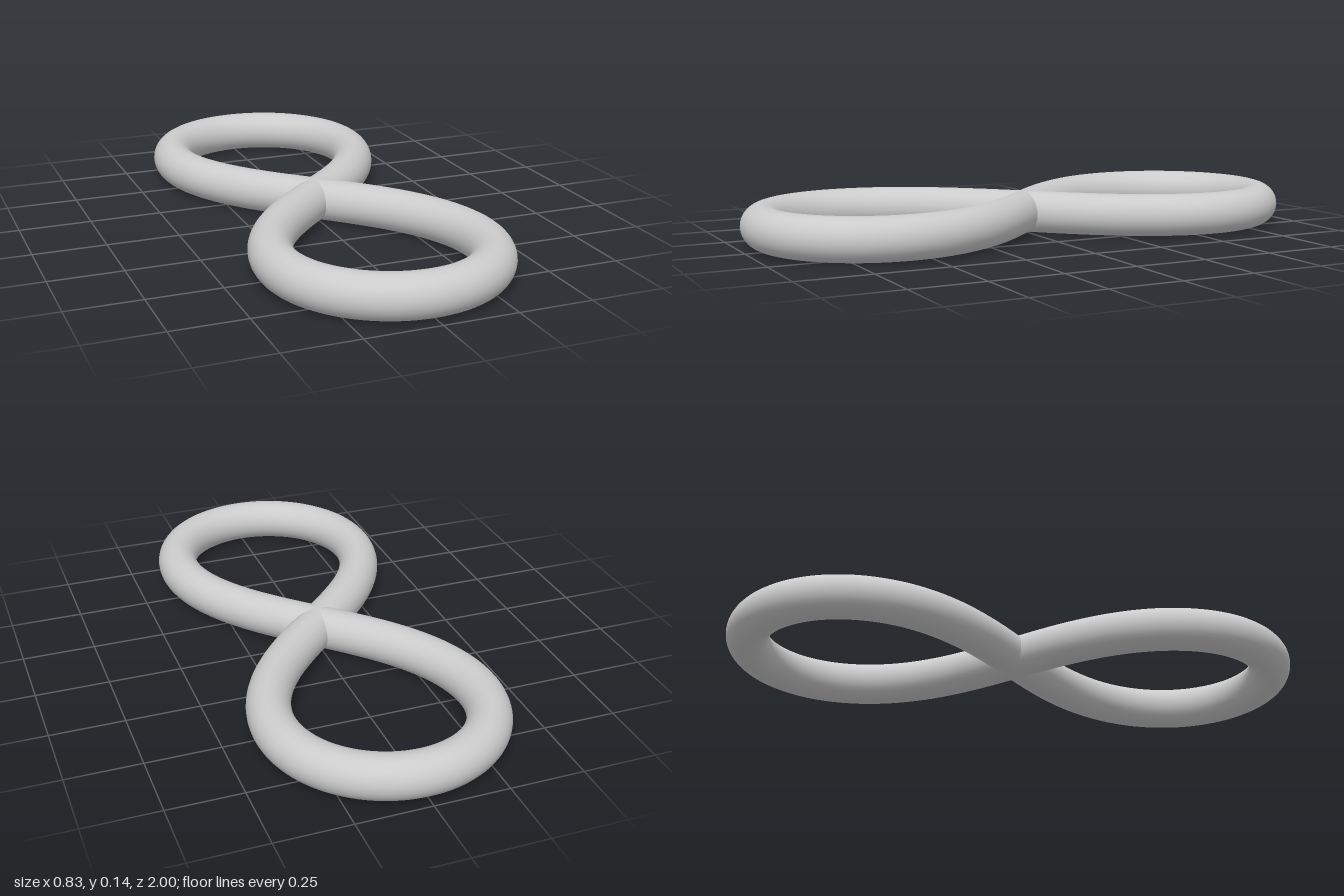
import * as THREE from 'three';

const RADIUS = 0.0725;       // tube radius
const HALF_LENGTH = 0.9275;  // centreline reach along z
const HALF_WIDTH = 0.345;    // centreline reach along x

// Flat figure-eight centreline (lemniscate), loops along z
class FigureEight extends THREE.Curve {
  getPoint(u, target = new THREE.Vector3()) {
    const t = u * Math.PI * 2;
    const k = Math.cos(t) / (1 + Math.sin(t) ** 2);
    return target.set(HALF_WIDTH * Math.SQRT2 * 2 * Math.sin(t) * k, RADIUS, HALF_LENGTH * k);
  }
}

export function createModel() {
  const group = new THREE.Group();
  group.name = 'figureEight';

  // One continuous round tube crossing itself at the centre
  const tube = new THREE.Mesh(
    new THREE.TubeGeometry(new FigureEight(), 256, RADIUS, 32, true),
    new THREE.MeshStandardMaterial({ color: 0xcccccc })
  );
  tube.name = 'loopTube';
  group.add(tube);
  return group;
}
